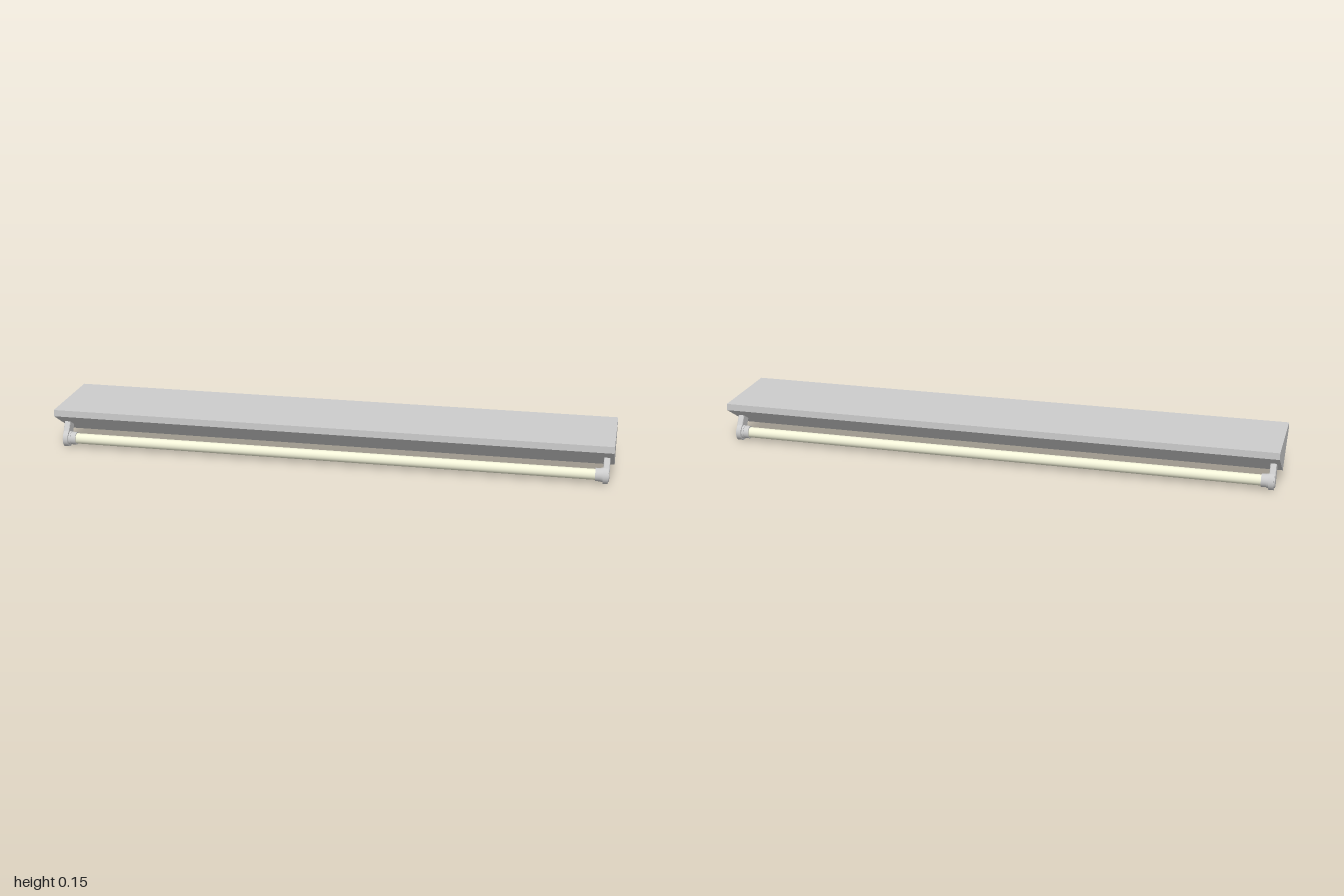
import * as THREE from 'three';

const grey = new THREE.MeshStandardMaterial({ color: 0xcccccc });
const cream = new THREE.MeshStandardMaterial({ color: 0xf2f2d8 });

function add(parent, name, geometry, material = grey) {
  const mesh = new THREE.Mesh(geometry, material);
  mesh.name = name;
  parent.add(mesh);
  return mesh;
}

// Cylinder lying along x between two x positions
function rod(parent, name, radius, x0, x1, material, radiusEnd = radius) {
  const g = new THREE.CylinderGeometry(radius, radiusEnd, x1 - x0, 32);
  g.rotateZ(Math.PI / 2).translate((x0 + x1) / 2, 0, 0);
  return add(parent, name, g, material);
}

// Lamp socket at the +x end: beveled rounded stem, round plate and collar
function lampHolder() {
  const holder = new THREE.Group();
  const w = 0.02;
  const s = new THREE.Shape();
  s.moveTo(w, 0.064);
  s.lineTo(-w, 0.064);
  s.lineTo(-w, 0);
  s.absarc(0, 0, w, Math.PI, Math.PI * 2, false);
  s.lineTo(w, 0.064);
  const stem = new THREE.ExtrudeGeometry(s, {
    depth: 0.014, bevelThickness: 0.004, bevelSize: 0.004, bevelSegments: 2, curveSegments: 16,
  });
  stem.rotateY(Math.PI / 2).translate(0.968, 0, 0);
  add(holder, 'stem', stem);
  rod(holder, 'plate', 0.031, 0.964, 0.982);
  rod(holder, 'shoulder', 0.025, 0.957, 0.964);
  rod(holder, 'collar', 0.023, 0.938, 0.957);
  return holder;
}

export function createModel() {
  const model = new THREE.Group();
  model.name = 'twinTubeLight';

  // Wedge-shaped housing running the full length
  const profile = new THREE.Shape([
    [0, 0.033], [0.16, 0.13], [0.16, 0.154], [-0.16, 0.154], [-0.16, 0.13],
  ].map(([z, y]) => new THREE.Vector2(z, y)));
  const body = new THREE.ExtrudeGeometry(profile, { depth: 2, bevelEnabled: false });
  body.translate(0, 0, -1).rotateY(Math.PI / 2);
  add(model, 'housing', body);

  // One tube with two holders on each sloping face
  for (const side of [1, -1]) {
    const lamp = new THREE.Group();
    lamp.name = side > 0 ? 'frontLamp' : 'backLamp';
    rod(lamp, 'tube', 0.019, -0.95, 0.95, cream);
    for (const end of [0, 1]) {
      const holder = lampHolder();
      holder.name = end ? 'rightHolder' : 'leftHolder';
      holder.rotation.y = end * Math.PI;
      lamp.add(holder);
    }
    lamp.position.set(0, 0.031, side * 0.105);
    lamp.rotation.x = -side * 0.54; // stems square to the slope
    model.add(lamp);
  }
  return model;
}
